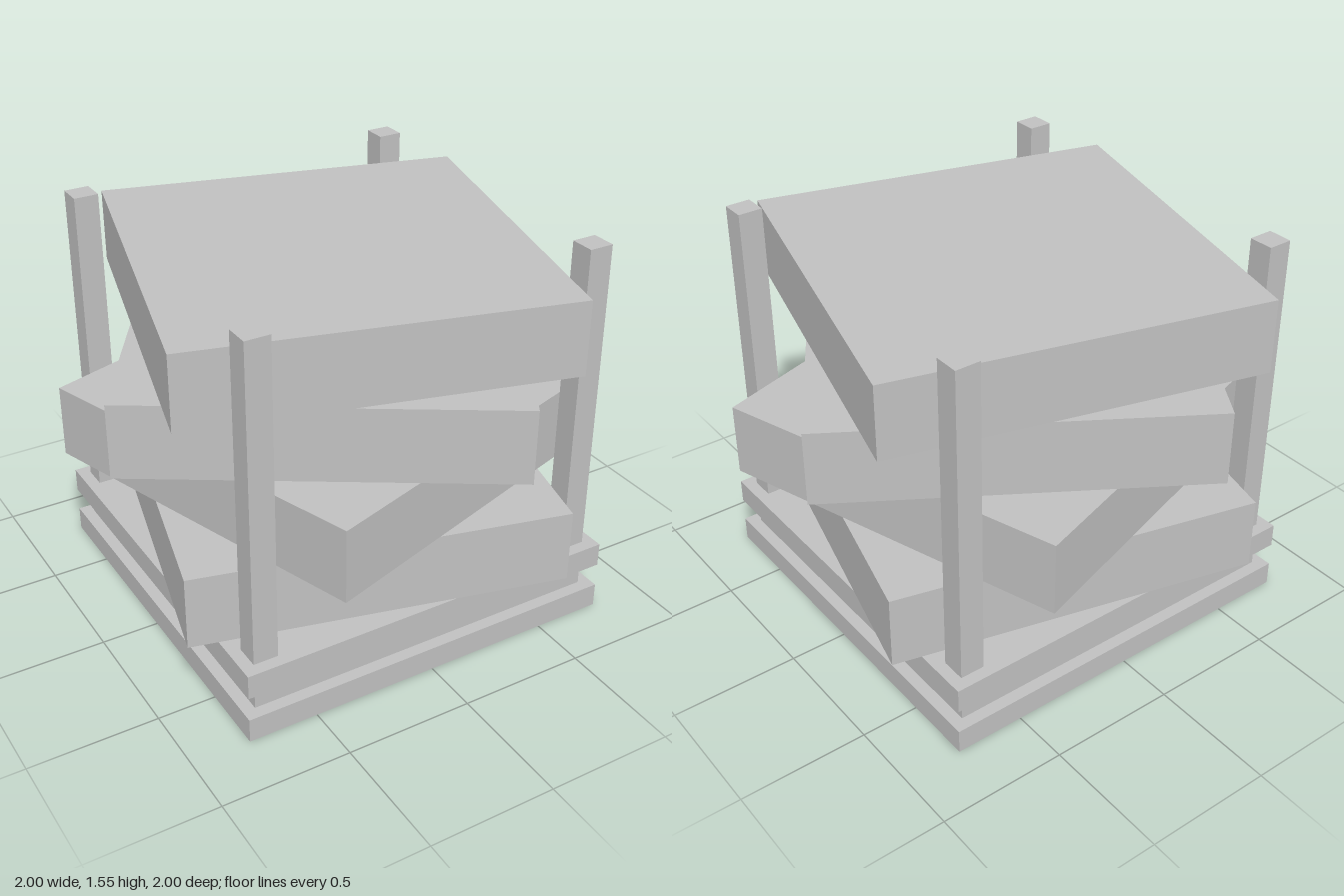
import * as THREE from 'three';

const U = 0.0967; // basic module of the design

export function createModel() {
  const group = new THREE.Group();
  const gray = new THREE.MeshStandardMaterial({ color: 0xc0c0c0 });
  gray.name = 'gray';

  // box resting at height y, all sizes in modules
  const box = (name, width, height, x, y, z, degrees = 0) => {
    const mesh = new THREE.Mesh(new THREE.BoxGeometry(width * U, height * U, width * U), gray);
    mesh.name = name;
    mesh.position.set(x * U, (y + height / 2) * U, z * U);
    mesh.rotation.y = THREE.MathUtils.degToRad(degrees);
    group.add(mesh);
  };

  // stepped plinth with a recessed middle
  box('basePlate', 16, 1, 0, 0, 0);
  box('baseRecess', 15, 1, 0, 1, 0);
  box('baseTop', 16, 1, 0, 2, 0);

  // twisted stack of square floors
  [-14.2, 17.9, -32.2, -15].forEach((angle, i) => {
    box(`floor${i + 1}`, 15, 3, 0, 3 + i * 3, 0, angle);
  });

  // corner posts
  for (const x of [-7, 7]) {
    for (const z of [-7, 7]) {
      box(`${z > 0 ? 'front' : 'back'}${x > 0 ? 'Left' : 'Right'}Post`, 1, 13, x, 3, z);
    }
  }
  return group;
}
